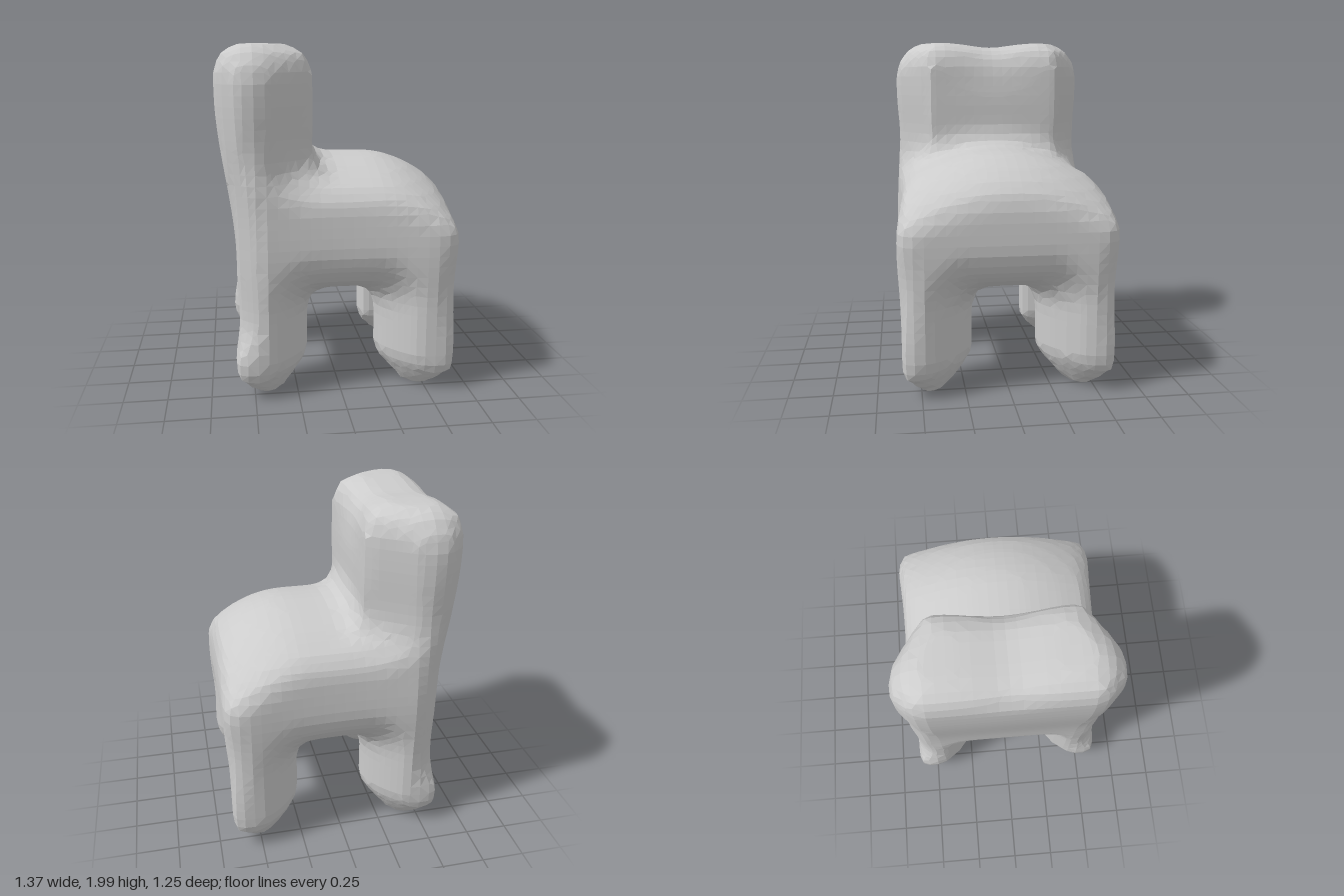
import * as THREE from 'three';

const STEP = 0.06;
const MIN = [-0.93, -0.16, -0.87];
const COUNT = [31, 40, 29];

// Smooth bump of height 1 at the middle
const bump = (t, middle, width) => Math.exp(-(((t - middle) / width) ** 2));

// Soft union of two distances, with a fillet of size k
function blend(a, b, k) {
  const h = Math.max(k - Math.abs(a - b), 0) / k;
  return Math.min(a, b) - h * h * k / 4;
}

// Distance to a corner rounded by r, where a and b are distances past two sides
function corner(a, b, r) {
  return Math.min(Math.max(a + r, b + r), 0) + Math.hypot(Math.max(a + r, 0), Math.max(b + r, 0)) - r;
}

// Upright outer walls shared by all parts: leaning back, slight waist, chamfered corners
function walls(x, y, z) {
  const swell = bump(y, 0.85, 0.25), foot = bump(y, 0.21, 0.13);
  const rear = -0.587 - 0.018 * foot - 0.1 * THREE.MathUtils.smoothstep(y, 0.8, 1.75);
  const a = Math.max(x - 0.665 - 0.015 * swell, rear - x);
  const b = Math.abs(z) - 0.578 - 0.12 * Math.min(x * x, 0.25) - 0.018 * swell;
  const cut = x > 0 ? 0.05 + 0.035 * bump(y, 0.7, 0.2) : 0.13;
  return Math.max(a, b, (a + b + cut * (1 - 0.8 * foot)) * Math.SQRT1_2);
}

// Domed seat that slopes down to the front and is softly rounded below
function seat(x, y, z) {
  const top = y - 1.355 + 0.54 * z * z + 0.9 * Math.max(x - 0.2, 0) ** 2;
  return y > 0.88 ? corner(walls(x, y, z), top, 0.08) : corner(walls(x, y, z), 0.6 - y, 0.26);
}

// Thick backrest with a slanted front at each end, a hollow middle and a dipped top
function backrest(x, y, z) {
  const side = Math.abs(z) - 0.608 + 0.02 * bump(y, 1.4, 0.2);
  const hollow = 0.035 * bump(z, 0, 0.25) * THREE.MathUtils.smoothstep(y, 1.6, 1.95);
  const front = x + 0.145 + hollow;
  const slant = 0.58 * front + 0.81 * side + 0.165;
  const plan = Math.max(walls(x, y, z), corner(front, side, 0.2), slant);
  const drop = 0.03 * bump(z, 0, 0.16) + 1.5 * Math.max(Math.abs(z) - 0.4, 0) ** 2;
  return Math.max(corner(plan, y - 2.003 + drop, 0.16), 0.9 - y);
}

// Leg with an oval section pointing out along the diagonal and a tapered foot
function leg(x, y, z, sx, sz) {
  const dx = (x - (sx > 0 ? 0.46 : -0.405)) * sx;
  const dz = (z - sz * 0.422) * sz;
  const u = (dx + dz) * Math.SQRT1_2 / 0.295;
  const v = (dx - dz) * Math.SQRT1_2 / 0.144;
  const cap = Math.max(y - 0.75, 0) / 0.2;
  const taper = 0.7 * Math.max(0.18 - y, 0) / 0.18;
  return Math.max((Math.hypot(u, v, cap) - 1 + taper) * 0.19, -y);
}

function field(x, y, z) {
  const body = blend(seat(x, y, z), backrest(x, y, z), 0.15);
  const legs = Math.min(
    leg(x, y, z, 1, 1), leg(x, y, z, 1, -1), leg(x, y, z, -1, 1), leg(x, y, z, -1, -1));
  return Math.max(blend(body, legs, 0.16), walls(x, y, z));
}

// Name of the part a point of the skin belongs to
function partAt(p) {
  if (p.y < 0.5) return (p.z > 0 ? 'front' : 'back') + (p.x > 0 ? 'Left' : 'Right') + 'Leg';
  return p.y > 1.38 && p.x < -0.02 ? 'backrest' : 'seat';
}

// Calls fn for every grid node from the given first index
function eachNode(first, fn) {
  for (let k = first; k < COUNT[2]; k++)
    for (let j = first; j < COUNT[1]; j++)
      for (let i = first; i < COUNT[0]; i++) fn([i, j, k]);
}

export function createModel() {
  const stride = [1, COUNT[0], COUNT[0] * COUNT[1]];
  const id = (n) => n[0] + n[1] * stride[1] + n[2] * stride[2];
  const values = new Float32Array(stride[2] * COUNT[2]);
  eachNode(0, (n) => {
    values[id(n)] = field(...n.map((s, a) => MIN[a] + s * STEP));
  });

  // One skin point per crossed cell: the mean of its edge crossings
  const points = new Map();
  function pointOf(node) {
    const cell = id(node);
    if (points.has(cell)) return points.get(cell);
    const sum = [0, 0, 0];
    let hits = 0;
    for (let a = 0; a < 3; a++) {
      const b = (a + 1) % 3, c = (a + 2) % 3;
      for (let m = 0; m < 4; m++) {
        const ob = m & 1, oc = m >> 1;
        const start = cell + ob * stride[b] + oc * stride[c];
        const f0 = values[start], f1 = values[start + stride[a]];
        if ((f0 < 0) === (f1 < 0)) continue;
        sum[a] += f0 / (f0 - f1);
        sum[b] += ob;
        sum[c] += oc;
        hits++;
      }
    }
    const p = new THREE.Vector3(...sum.map((s, a) => MIN[a] + (node[a] + s / hits) * STEP));
    points.set(cell, p);
    return p;
  }

  // A quad of four skin points around every crossed grid edge, sorted into parts
  const parts = {};
  eachNode(1, (n) => {
    const here = id(n);
    for (let a = 0; a < 3; a++) {
      if (n[a] === COUNT[a] - 1) continue;
      const inside = values[here] < 0;
      if (inside === (values[here + stride[a]] < 0)) continue;
      const b = (a + 1) % 3, c = (a + 2) % 3;
      const quad = [[0, 0], [1, 0], [1, 1], [0, 1]].map(([ob, oc]) => {
        const node = [...n];
        node[b] -= ob;
        node[c] -= oc;
        return pointOf(node);
      });
      const [p, q, r, s] = inside ? quad : quad.reverse();
      const middle = p.clone().add(q).add(r).add(s).multiplyScalar(0.25);
      const tris = p.distanceTo(r) < q.distanceTo(s) ? [p, q, r, p, r, s] : [q, r, s, q, s, p];
      (parts[partAt(middle)] ??= []).push(...tris);
    }
  });

  const material = new THREE.MeshStandardMaterial({ color: 0xcccccc, flatShading: true });
  const group = new THREE.Group();
  group.name = 'chair';
  for (const [name, list] of Object.entries(parts)) {
    const geometry = new THREE.BufferGeometry().setFromPoints(list);
    geometry.computeVertexNormals();
    const mesh = new THREE.Mesh(geometry, material);
    mesh.name = name;
    group.add(mesh);
  }
  return group;
}
